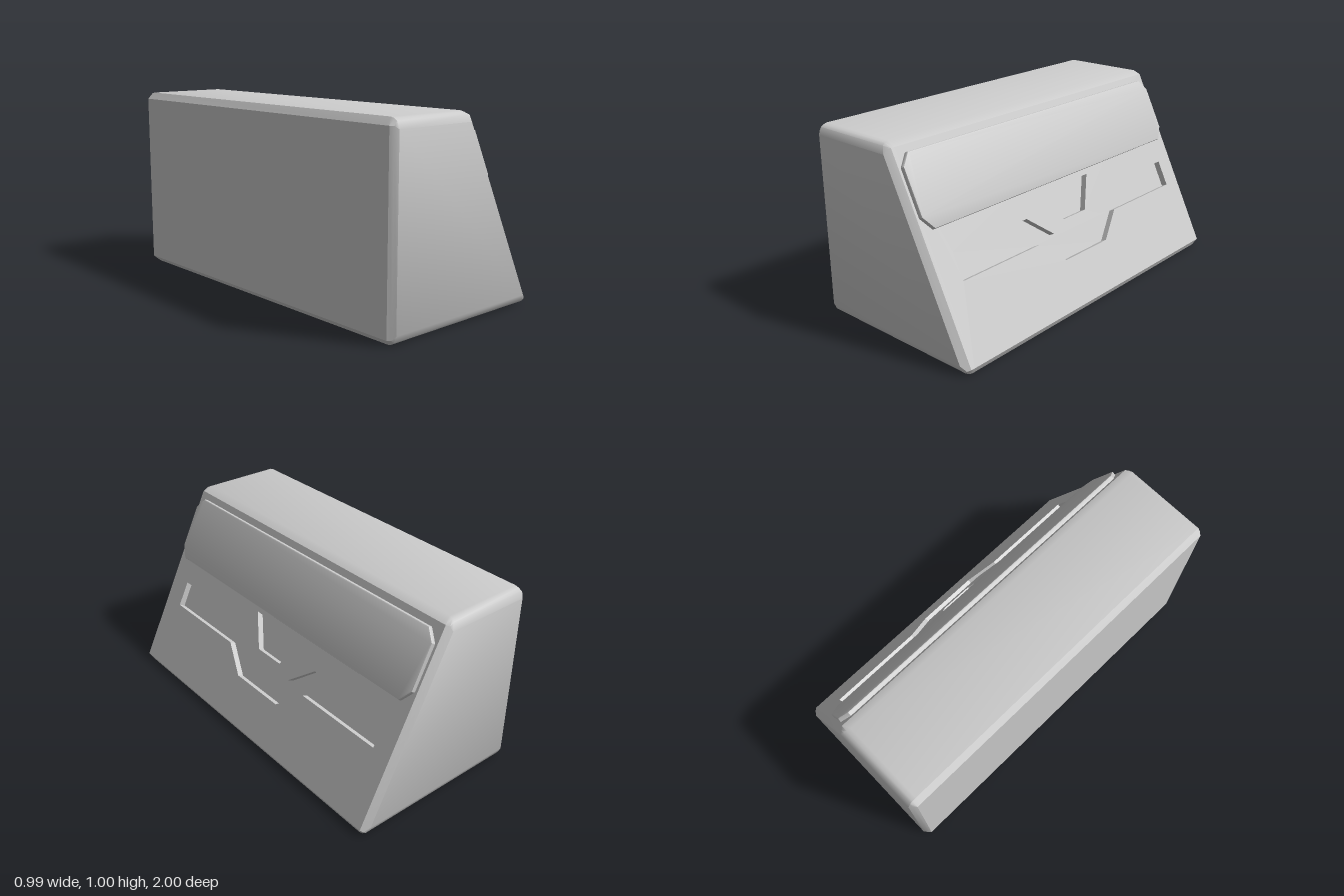
import * as THREE from 'three';
import { toCreasedNormals } from 'three/addons/utils/BufferGeometryUtils.js';

const material = new THREE.MeshStandardMaterial({ color: 0xcccccc });
const LOW = new THREE.Vector2(0.492, 0.033); // lower edge of the sloped face (x, y)
const HIGH = new THREE.Vector2(0.024, 0.978); // upper edge of the sloped face
const FACE_HALF = 0.95;
const DEPTH = 0.035;

// Body cross-section, counter-clockwise seen from +z, shrunk towards the ends
function profile(bevel, insetY) {
  const top = 1 - insetY;
  const edgeX = (y) => -0.02 + 0.495 * (1 - y);
  const k = bevel / 0.03;
  const lo = Math.max(0.02, insetY), hi = Math.min(0.965, top);
  return [
    [THREE.MathUtils.lerp(edgeX(lo), LOW.x, k), THREE.MathUtils.lerp(lo, LOW.y, k)],
    [THREE.MathUtils.lerp(edgeX(hi), HIGH.x, k), THREE.MathUtils.lerp(hi, HIGH.y, k)],
    [edgeX(top), top],
    [-0.465, top],
    [-0.465 - bevel, hi],
    [-0.465 - bevel, Math.max(0.03, insetY)],
    [-0.465, insetY],
    [edgeX(insetY), insetY],
  ];
}

// Wedge body lofted along z; the middle of the slope stays open for the front panel
function bodyGeometry() {
  const half = [[1, 0, 0.05], [0.985, 0.015, 0.015], [0.97, 0.03, 0.005], [FACE_HALF, 0.03, 0]];
  const stations = [...half, ...half.map(([z, b, i]) => [-z, b, i]).reverse()];
  const rings = stations.map(([z, b, i]) => profile(b, i).map(([x, y]) => [x, y, z]));
  const pos = [];
  const tri = (...points) => points.forEach((p) => pos.push(...p));
  for (let i = 0; i < rings.length - 1; i++) {
    for (let j = 0; j < 8; j++) {
      if (j === 0 && i === half.length - 1) continue;
      const n = (j + 1) % 8;
      const a = rings[i][j], b = rings[i][n], c = rings[i + 1][j], d = rings[i + 1][n];
      tri(a, c, b);
      tri(b, c, d);
    }
  }
  const first = rings[0], last = rings[rings.length - 1];
  for (let j = 1; j < 7; j++) {
    tri(first[0], first[j], first[j + 1]);
    tri(last[0], last[j + 1], last[j]);
  }
  const geometry = new THREE.BufferGeometry();
  geometry.setAttribute('position', new THREE.Float32BufferAttribute(pos, 3));
  return toCreasedNormals(geometry, 0.6);
}

// Mirrors half an outline [offset, height] and lays it on the slope
function slopeOutline(halfPoints, centre) {
  const rise = (HIGH.y - LOW.y) / HIGH.distanceTo(LOW);
  const toSlope = (s, y) => new THREE.Vector2(s + centre, (y - LOW.y) / rise);
  return [
    ...halfPoints.map(([s, y]) => toSlope(s, y)),
    ...halfPoints.map(([s, y]) => toSlope(-s, y)).reverse(),
  ];
}

export function createModel() {
  const model = new THREE.Group();
  const add = (parent, geometry, name) => {
    const mesh = new THREE.Mesh(geometry, material);
    mesh.name = name;
    parent.add(mesh);
    return mesh;
  };
  add(model, bodyGeometry(), 'body');

  // Tilted frame: x runs to the back, y up the slope, z outwards
  const front = new THREE.Group();
  front.name = 'slopedFront';
  const up = HIGH.clone().sub(LOW).normalize();
  front.applyMatrix4(new THREE.Matrix4().makeBasis(
    new THREE.Vector3(0, 0, -1),
    new THREE.Vector3(up.x, up.y, 0),
    new THREE.Vector3(up.y, -up.x, 0),
  ).setPosition(LOW.x, LOW.y, 0));
  model.add(front);

  // Recesses: long stepped groove and small trapezoid
  const groove = slopeOutline([
    [0.19, 0.39], [0.34, 0.503], [0.85, 0.503], [0.85, 0.373], [0.32, 0.373], [0.17, 0.256],
  ], 0.011);
  const pocket = slopeOutline([[0.198, 0.588], [0.09, 0.433]], 0.012);
  const panel = new THREE.Shape(slopeOutline([[FACE_HALF, LOW.y], [FACE_HALF, HIGH.y]], 0));
  panel.holes.push(new THREE.Path(groove), new THREE.Path(pocket));
  add(front, new THREE.ExtrudeGeometry(panel, { depth: DEPTH, bevelEnabled: false }), 'frontPanel')
    .position.z = -DEPTH;
  for (const [outline, name] of [[groove, 'grooveFloor'], [pocket, 'pocketFloor']]) {
    add(front, new THREE.ShapeGeometry(new THREE.Shape(outline)), name).position.z = -DEPTH;
  }

  // Raised plate with clipped corners and a softened rim
  const bevel = 0.008;
  const plate = new THREE.Shape(slopeOutline([
    [0.902, 0.623], [0.949, 0.678], [0.949, 0.888], [0.902, 0.938],
  ], 0));
  const plateGeometry = new THREE.ExtrudeGeometry(plate, {
    depth: 0.016, bevelThickness: bevel, bevelSize: bevel, bevelSegments: 2,
  });
  add(front, toCreasedNormals(plateGeometry, 0.6), 'raisedPlate');
  return model;
}
